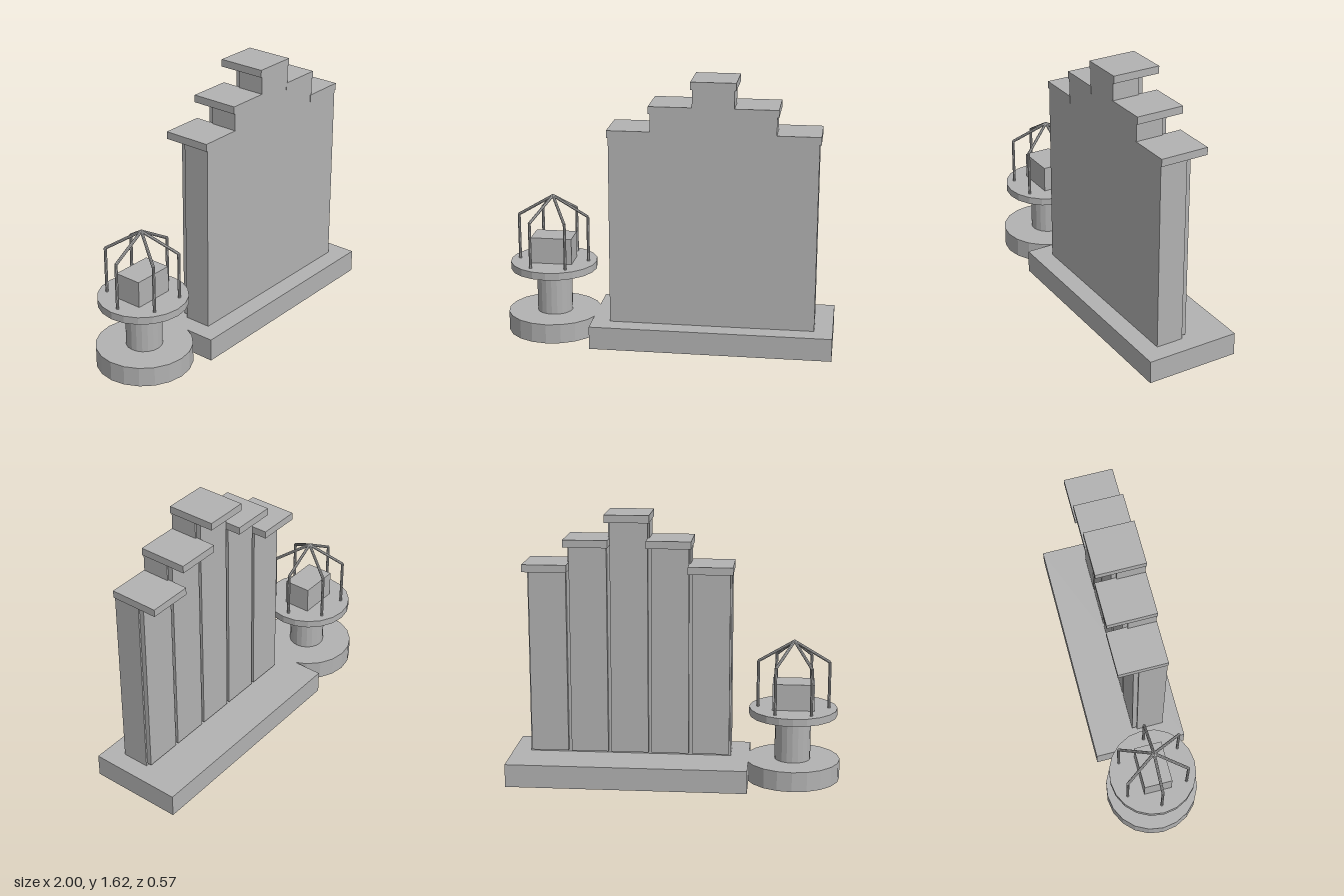
import * as THREE from 'three';

export function createModel() {
  const model = new THREE.Group();
  model.name = 'steppedWallWithTurret';
  const stone = new THREE.MeshStandardMaterial({ color: 0xb2b2b2, flatShading: true });
  stone.name = 'grey stone';

  const add = (name, geometry, parent) => {
    const mesh = new THREE.Mesh(geometry, stone);
    mesh.name = name;
    parent.add(mesh);
    return mesh;
  };
  // Box given by its lower and upper corners
  const box = (name, x0, x1, y0, y1, z0, z1, parent = model) => {
    const g = new THREE.BoxGeometry(x1 - x0, y1 - y0, z1 - z0);
    g.translate((x0 + x1) / 2, (y0 + y1) / 2, (z0 + z1) / 2);
    return add(name, g, parent);
  };

  box('plinth', -0.45, 1, 0, 0.14, -0.287, 0.287);

  // Five stepped columns forming one flush front wall
  const width = 0.246, middle = 0.275, front = 0.173, back = 0.005;
  const tops = [1.28, 1.43, 1.58];
  const shape = new THREE.Shape();
  const left = middle - 2.5 * width;
  shape.moveTo(left, 0.14);
  for (let i = 0; i < 5; i++) {
    const y = tops[2 - Math.abs(i - 2)];
    shape.lineTo(left + i * width, y);
    shape.lineTo(left + (i + 1) * width, y);
  }
  shape.lineTo(left + 5 * width, 0.14);
  const wall = new THREE.ExtrudeGeometry(shape, { depth: front - back, bevelEnabled: false });
  add('wall', wall.translate(0, 0, back), model);

  // Raised rear panel and overhanging cap on each column
  for (let i = 0; i < 5; i++) {
    const x = middle + (i - 2) * width;
    const y = tops[2 - Math.abs(i - 2)];
    box('rearPanel', x - 0.113, x + 0.113, 0.155, y, -0.024, back);
    box('cap', x - 0.133, x + 0.133, y, y + 0.045, -0.12, 0.175);
  }

  // Round turret beside the wall
  const turret = new THREE.Group();
  turret.name = 'turret';
  turret.position.x = -0.714;
  model.add(turret);
  const drum = (name, r, y0, y1) => {
    const g = new THREE.CylinderGeometry(r, r, y1 - y0, 20);
    add(name, g.translate(0, (y0 + y1) / 2, 0), turret);
  };
  drum('turretBase', 0.286, 0.02, 0.14);
  drum('turretColumn', 0.108, 0.14, 0.415);
  drum('turretPlatform', 0.265, 0.415, 0.46);
  box('turretBlock', -0.125, 0.125, 0.46, 0.62, -0.085, 0.085, turret);

  // Cage of six posts with rafters meeting at the apex
  const rod = (name, a, b) => {
    const d = b.clone().sub(a);
    const mesh = add(name, new THREE.CylinderGeometry(0.009, 0.009, d.length(), 8), turret);
    mesh.position.copy(a).add(b).multiplyScalar(0.5);
    mesh.quaternion.setFromUnitVectors(new THREE.Vector3(0, 1, 0), d.normalize());
  };
  const apex = new THREE.Vector3(0, 0.868, 0);
  for (let i = 0; i < 6; i++) {
    const a = (i * Math.PI) / 3;
    const foot = new THREE.Vector3(0.213 * Math.cos(a), 0.455, 0.213 * Math.sin(a));
    const head = foot.clone().setY(0.742);
    rod('cagePost', foot, head);
    rod('cageRafter', head, apex);
  }
  return model;
}
